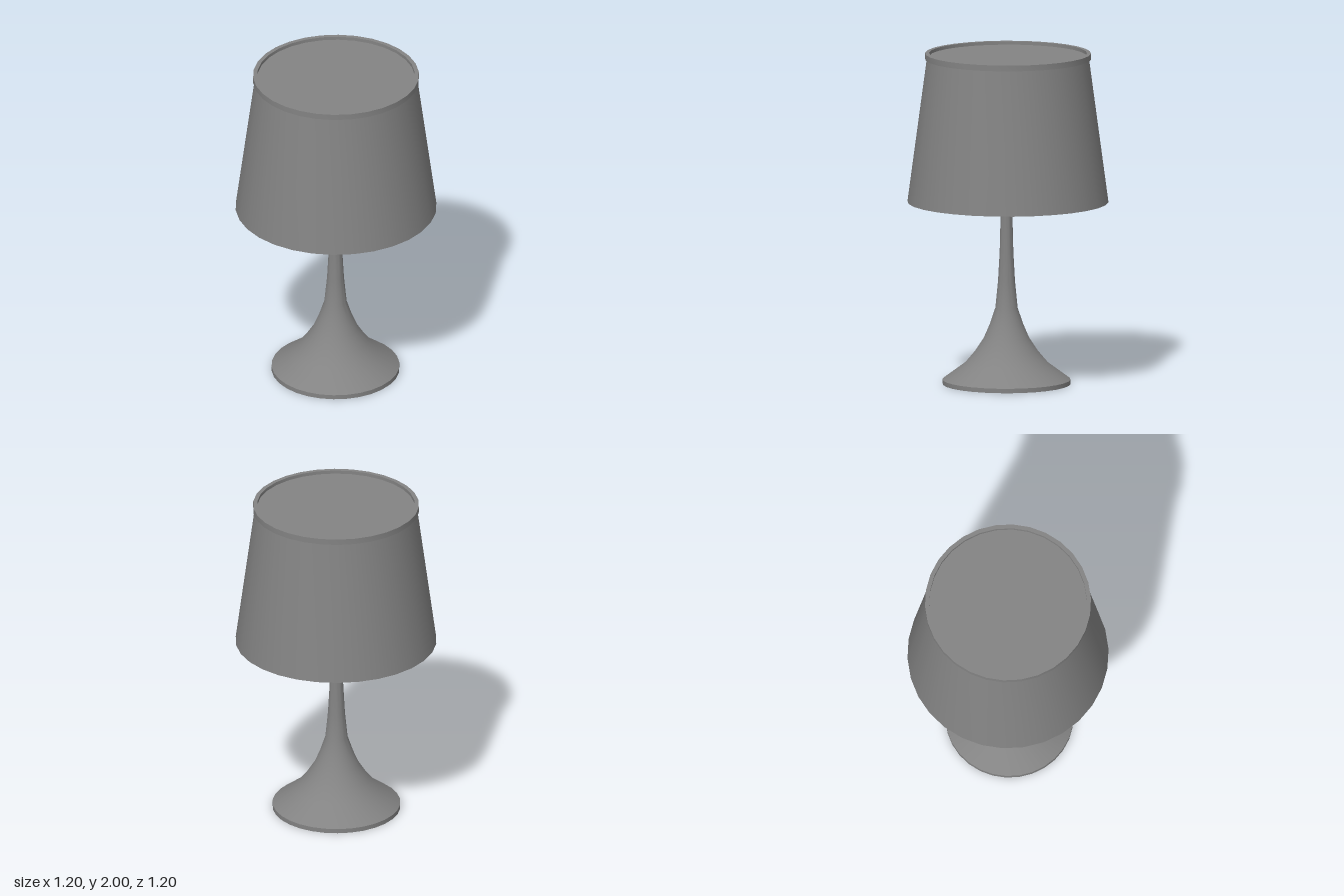
import * as THREE from 'three';
import { toCreasedNormals } from 'three/addons/utils/BufferGeometryUtils.js';

const SIDES = 30;
const material = new THREE.MeshStandardMaterial({ color: 0x838383 });

// Turned part: profile of [radius, height] pairs, running bottom to top
function turned(name, profile) {
  const points = profile.map(([r, y]) => new THREE.Vector2(r, y));
  const geometry = toCreasedNormals(new THREE.LatheGeometry(points, SIDES), 0.6);
  const mesh = new THREE.Mesh(geometry, material);
  mesh.name = name;
  return mesh;
}

export function createModel() {
  const lamp = new THREE.Group();
  lamp.name = 'tableLamp';

  // Flared foot sweeping up into a slim stem, set slightly off centre
  const stand = turned('stand', [
    [0, 0], [0.383, 0], [0.383, 0.027], [0.25, 0.125], [0.19, 0.196],
    [0.135, 0.28], [0.099, 0.365], [0.067, 0.46], [0.051, 0.62],
    [0.041, 0.8], [0.036, 1.0], [0.034, 1.12], [0, 1.12],
  ]);
  stand.position.set(0.003, 0, 0.009);

  // Tapered shade, closed below and above
  const shade = turned('shade', [
    [0, 1.102], [0.602, 1.102], [0.484, 1.98], [0, 1.98],
  ]);

  // Band around the top edge, standing proud of the recessed top
  const rim = turned('rim', [
    [0.472, 1.965], [0.497, 1.965], [0.497, 2], [0.472, 2], [0.472, 1.965],
  ]);

  lamp.add(stand, shade, rim);
  return lamp;
}
